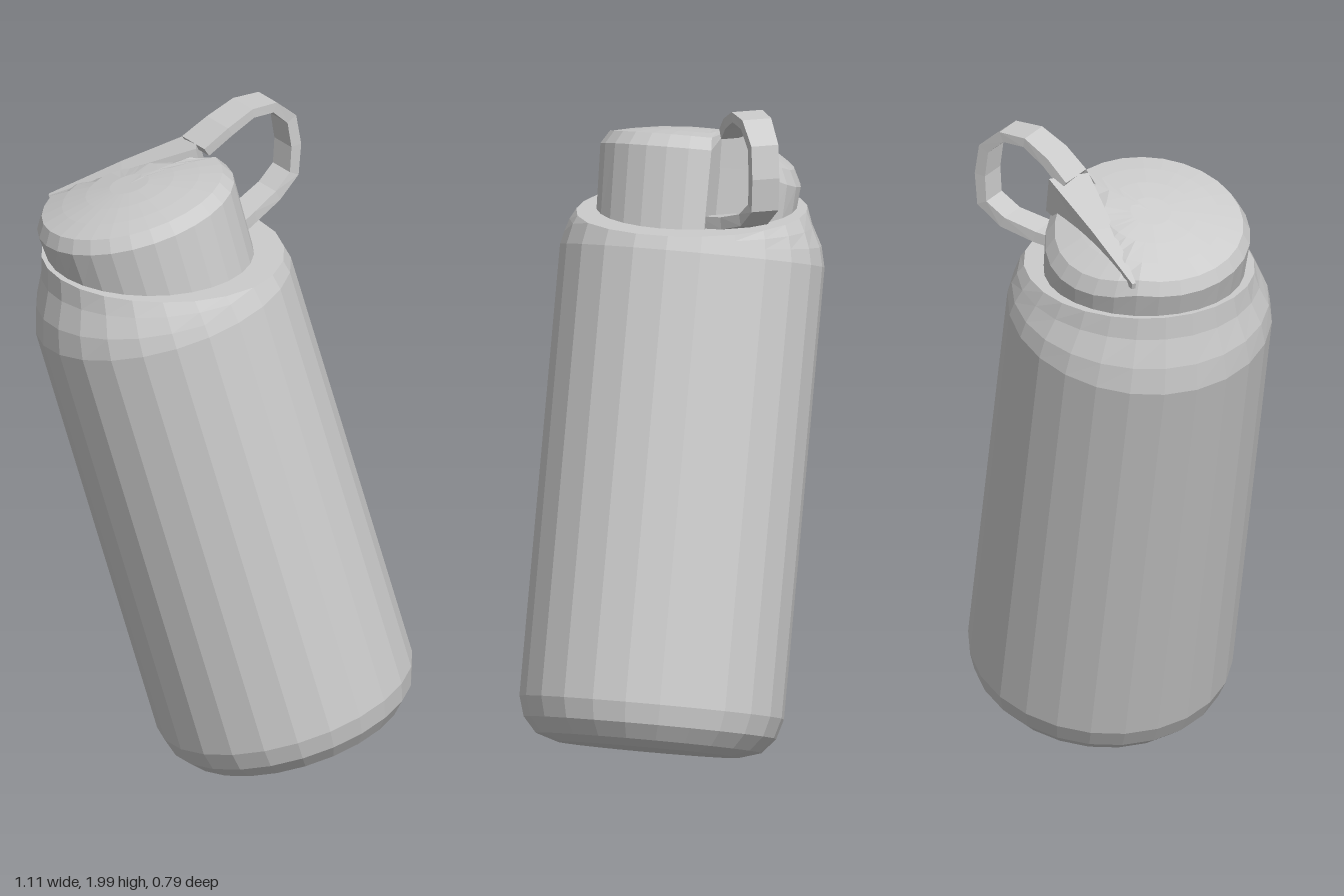
import * as THREE from 'three';

const TILT = THREE.MathUtils.degToRad(15.5);
const SIN = Math.sin(TILT), COS = Math.cos(TILT);
const BASE = new THREE.Vector3(0.211, 0.077, 0);
const NECK_Y = 1.63; // level cut between body and lid

// Height along the tilted axis at which a point at local x meets a level plane
const levelHeight = (x, y) => (y - BASE.y - x * SIN) / COS;

// Skin over closed rings (counter-clockwise around the direction of travel), ends closed
function loft(rings) {
  const n = rings[0].length, pos = [];
  const tri = (...pts) => pts.forEach((p) => pos.push(p.x, p.y, p.z));
  const centre = (ring) => ring.reduce((s, p) => s.add(p), new THREE.Vector3()).divideScalar(n);
  const first = rings[0], last = rings[rings.length - 1];
  const c0 = centre(first), c1 = centre(last);
  for (let j = 0; j < n; j++) {
    const k = (j + 1) % n;
    for (let i = 0; i < rings.length - 1; i++) {
      const a = rings[i], b = rings[i + 1];
      tri(a[j], a[k], b[k]);
      tri(a[j], b[k], b[j]);
    }
    tri(first[k], first[j], c0);
    tri(last[j], last[k], c1);
  }
  const g = new THREE.BufferGeometry();
  g.setAttribute('position', new THREE.Float32BufferAttribute(pos, 3));
  g.computeVertexNormals();
  return g;
}

function part(name, geometry) {
  const material = new THREE.MeshStandardMaterial({ color: 0xcccccc, flatShading: true });
  const mesh = new THREE.Mesh(geometry, material);
  mesh.name = name;
  return mesh;
}

// Body: rounded base, straight wall, shoulder ending in the level cut
function bodyGeometry() {
  const N = 24;
  const angles = Array.from({ length: N }, (_, i) => ((i + 0.5) / N) * Math.PI * 2);
  const point = (t, r, h) => new THREE.Vector3(r * Math.cos(t), h, -r * Math.sin(t));
  const wall = [[0.27, 0], [0.335, 0.02], [0.375, 0.065], [0.393, 0.125], [0.393, 1.465]];
  const rings = wall.map(([r, h]) => angles.map((t) => point(t, r, h)));
  const shoulder = [[0.393, 1.465], [0.378, 1.53], [0.335, 1.61], [0.31, 1.7]];
  const radiusAt = (h) => {
    for (let i = 1; i < shoulder.length; i++) {
      const [r0, h0] = shoulder[i - 1], [r1, h1] = shoulder[i];
      if (h <= h1) return r0 + ((r1 - r0) * (h - h0)) / (h1 - h0);
    }
    return 0.31;
  };
  for (const s of [0.35, 0.7, 1]) {
    rings.push(angles.map((t) => {
      let top = 1.6;
      for (let i = 0; i < 8; i++) top = levelHeight(radiusAt(top) * Math.cos(t), NECK_Y);
      const h = 1.465 + (top - 1.465) * s;
      return point(t, radiusAt(h), h);
    }));
  }
  return loft(rings);
}

// Lid: domed cap with a corner notch for the carry loop, sloping down at the back
function lidGeometry() {
  const R = 0.302, outline = [];
  const from = Math.atan2(0.24, 0.18), to = Math.PI * 2 + Math.asin(0.125 / R), N = 26;
  for (let i = 0; i <= N; i++) {
    const t = from + ((to - from) * i) / N;
    outline.push([R * Math.cos(t), -R * Math.sin(t)]);
  }
  outline.push([0.18, -0.125]);
  const topHeight = (x, z) => {
    const r = Math.hypot(x, z);
    const dome = r < 0.278 ? 1.845 - 0.035 * (r / 0.278) ** 2 : 1.81 - (r - 0.278) * 1.6;
    return dome - 0.45 * Math.max(0, -0.125 - z);
  };
  const rings = [outline.map(([x, z]) => new THREE.Vector3(x * 0.98, levelHeight(x * 0.98, NECK_Y), z * 0.98))];
  for (const s of [1, 0.92, 0.7, 0.45, 0.2]) {
    rings.push(outline.map(([x, z]) => new THREE.Vector3(x * s, topHeight(x * s, z * s), z * s)));
  }
  return loft(rings);
}

// Flat band along a path of [x, y, z, halfWidth, halfThickness], its width along a fixed direction
function bandGeometry(sections, width) {
  const pts = sections.map(([x, y, z]) => new THREE.Vector3(x, y, z));
  return loft(sections.map(([, , , w, h], i) => {
    const a = pts[Math.max(0, i - 1)], b = pts[Math.min(pts.length - 1, i + 1)];
    const normal = b.clone().sub(a).cross(width).normalize();
    return [[1, 1], [-1, 1], [-1, -1], [1, -1]].map(([u, v]) =>
      pts[i].clone().addScaledVector(width, u * w).addScaledVector(normal, v * h));
  }));
}

export function createModel() {
  const model = new THREE.Group();
  model.name = 'bottle';

  // Leaning bottle and lid
  const leaning = new THREE.Group();
  leaning.name = 'leaningBottle';
  leaning.position.copy(BASE);
  leaning.rotation.z = TILT;
  leaning.add(part('body', bodyGeometry()), part('lid', lidGeometry()));
  model.add(leaning);

  // Tapered ridge across the lid that leads into the loop
  model.add(part('lidRidge', bandGeometry([
    [-0.52, 1.74, -0.135, 0.006, 0.01],
    [-0.3, 1.8, -0.16, 0.035, 0.035],
    [-0.075, 1.85, -0.19, 0.062, 0.06],
  ], new THREE.Vector3(0, 0, 1))));

  // Carry loop standing out from the notch
  model.add(part('carryLoop', bandGeometry([
    [-0.09, 1.895, -0.175, 0.055, 0.016],
    [-0.02, 1.945, -0.21, 0.052, 0.016],
    [0.05, 1.983, -0.255, 0.048, 0.015],
    [0.115, 1.978, -0.305, 0.045, 0.016],
    [0.165, 1.92, -0.345, 0.042, 0.018],
    [0.178, 1.83, -0.352, 0.042, 0.018],
    [0.172, 1.74, -0.348, 0.042, 0.018],
    [0.125, 1.69, -0.3, 0.042, 0.018],
    [0.06, 1.66, -0.22, 0.045, 0.018],
    [0.0, 1.645, -0.14, 0.055, 0.018],
  ], new THREE.Vector3(0.62, 0, 0.785))));

  return model;
}
